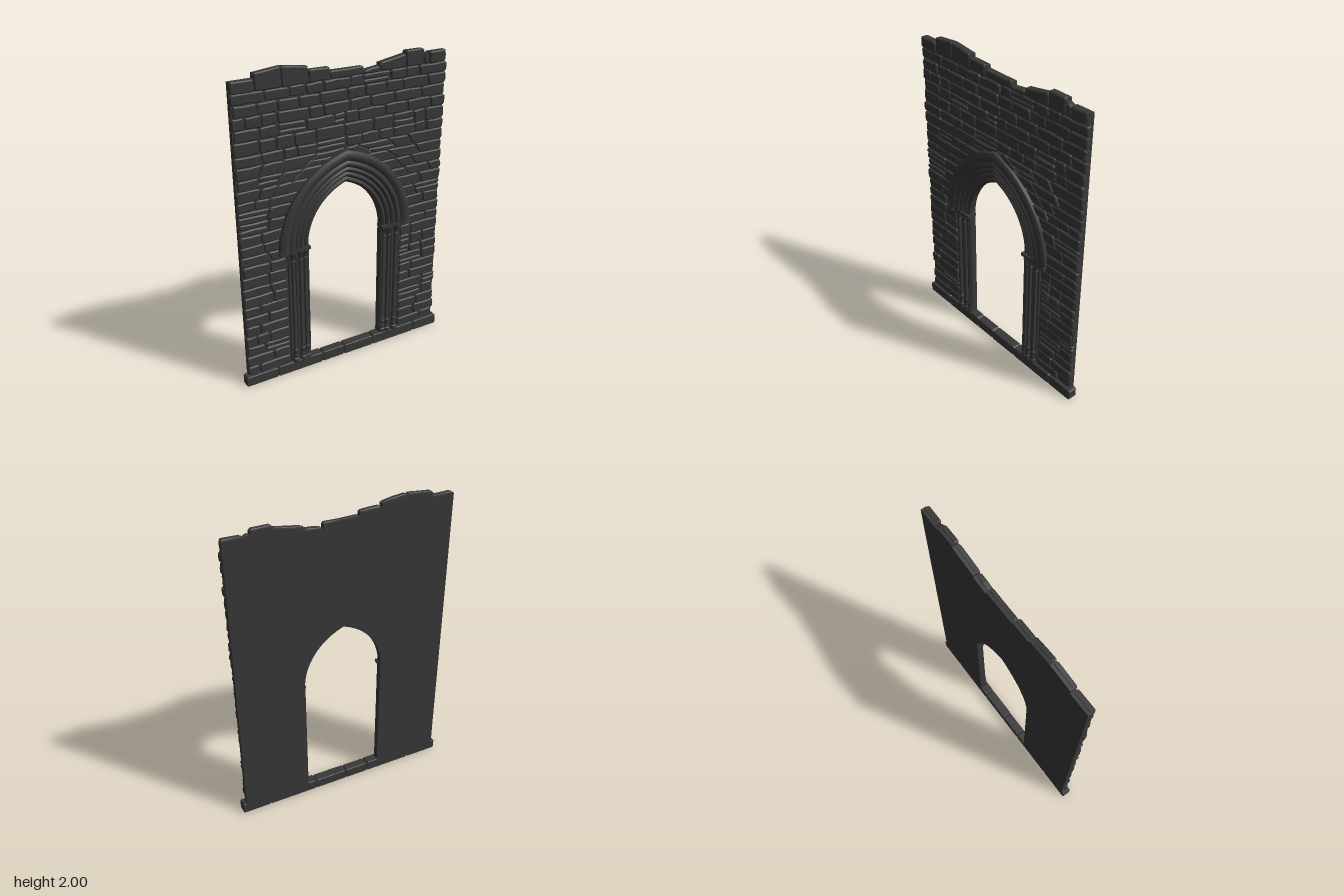
import * as THREE from 'three';
import { mergeGeometries, toCreasedNormals } from 'three/addons/utils/BufferGeometryUtils.js';

const SPRING = 0.88;   // height where the arch starts
const OFF = 0.125;     // arc centres lie this far across the middle
const BACK = -0.045;

// ragged top edge: x start, x end, height at each
const TOP = [
  [-0.7, -0.56, 1.955, 1.955], [-0.56, -0.4, 1.985, 2.0], [-0.4, -0.235, 2.0, 1.98],
  [-0.235, -0.1, 1.957, 1.955], [-0.1, 0.12, 1.933, 1.93], [0.12, 0.23, 1.905, 1.918],
  [0.23, 0.41, 1.935, 1.965], [0.41, 0.535, 1.982, 1.98], [0.535, 0.575, 1.96, 1.945],
  [0.575, 0.695, 1.955, 1.955],
];

let seed = 11;
const rnd = () => { seed = (seed * 16807) % 2147483647; return seed / 2147483647; };
const rand = (a, b) => a + (b - a) * rnd();

// half width of a pointed arch of radius r at height y
function archHalf(r, y) {
  return Math.max(0, Math.sqrt(Math.max(0, r * r - (y - SPRING) ** 2)) - OFF);
}

// bevelled stone from four corners: bottom left, bottom right, top right, top left
function stone(c, zBack, zFront, jitter, bevel = 0.006) {
  const pts = [];
  for (let i = 0; i < 4; i++) {
    const [p, q] = [c[i], c[(i + 1) % 4]];
    const len = Math.hypot(q[0] - p[0], q[1] - p[1]);
    const cut = Math.min(0.3, 0.009 / Math.max(len, 0.001));
    for (const t of [cut, 0.5, 1 - cut]) {
      pts.push(new THREE.Vector2(
        p[0] + (q[0] - p[0]) * t + rand(-jitter, jitter),
        p[1] + (q[1] - p[1]) * t + rand(-jitter, jitter)));
    }
  }
  const g = new THREE.ExtrudeGeometry(new THREE.Shape(pts), {
    depth: zFront - zBack - 2 * bevel, bevelSize: bevel, bevelThickness: bevel,
    bevelOffset: -bevel, bevelSegments: 1, steps: 1,
  });
  return g.translate(0, 0, zBack + bevel);
}

// one course of stones between two slanted ends
function course(out, y0, y1, l0, r0, l1, r1) {
  const width = (r0 - l0 + r1 - l1) / 2;
  if (width < 0.04) return;
  const cuts = [0];
  let t = 0;
  while (t < 1) {
    t += rand(0.075, 0.2) / width;
    if (1 - t < 0.07 / width) t = 1;
    cuts.push(t);
  }
  const gap = 0.0025;
  for (let i = 0; i + 1 < cuts.length; i++) {
    const at = (k, top) => (top ? l1 + (r1 - l1) * k : l0 + (r0 - l0) * k);
    const [a, b] = [cuts[i], cuts[i + 1]];
    const x = at((a + b) / 2, false);
    const rubble = y1 < 0.85 && x > 0.4 ? 0.35 : 0.06;
    const levels = rnd() < rubble ? [0, rand(0.4, 0.6), 1] : [0, 1];
    for (let k = 0; k + 1 < levels.length; k++) {
      const [u, v] = [levels[k], levels[k + 1]];
      const px = (s, h) => at(s, false) * (1 - h) + at(s, true) * h;
      const [ya, yb] = [y0 + (y1 - y0) * u + gap, y0 + (y1 - y0) * v - gap];
      out.push(stone([[px(a, u) + gap, ya], [px(b, u) - gap, ya],
        [px(b, v) - gap, yb], [px(a, v) + gap, yb]], -0.03, rand(-0.003, 0.006), 0.003));
    }
  }
}

// grooved archivolt swept around both arcs
function archGeometry() {
  const profile = [[0.392, BACK], [0.385, BACK], [0.385, -0.008]];
  const edges = [0.385, 0.418, 0.45, 0.482, 0.522, 0.583];
  for (let i = 0; i < 5; i++) {
    const base = -0.006 + i * 0.0065;
    for (let k = 0; k <= 6; k++) {
      profile.push([edges[i] + (edges[i + 1] - edges[i]) * k / 6,
        base + 0.013 * Math.sin(Math.PI * k / 6)]);
    }
  }
  profile.push([0.583, -0.02]);
  const N = 20, m = profile.length, pos = [], idx = [];
  for (let i = -N; i <= N; i++) {
    for (const [r, z] of profile) {
      const a = Math.acos(OFF / r) * (1 - Math.abs(i) / N);
      pos.push((r * Math.cos(a) - OFF) * (i < 0 ? 1 : -1), SPRING + r * Math.sin(a), z);
    }
  }
  for (let i = 0; i < 2 * N; i++) {
    for (let j = 0; j < m - 1; j++) {
      const a = i * m + j, c = a + m;
      idx.push(a, a + 1, c, a + 1, c + 1, c);
    }
  }
  const g = new THREE.BufferGeometry();
  g.setAttribute('position', new THREE.Float32BufferAttribute(pos, 3));
  g.setIndex(idx);
  return toCreasedNormals(g, 0.6);
}

export function createModel() {
  const model = new THREE.Group();
  model.name = 'ruinedArchWall';
  const darkStone = new THREE.MeshStandardMaterial({ color: 0x383838 });
  darkStone.name = 'darkStone';
  const add = (parent, name, geo, x = 0, y = 0, z = 0) => {
    const mesh = new THREE.Mesh(geo, darkStone);
    mesh.name = name;
    mesh.position.set(x, y, z);
    parent.add(mesh);
    return mesh;
  };

  // backing slab with the doorway notch
  const outline = [[-0.695, 0.03], [-0.265, 0.03]];
  for (let i = 0; i <= 40; i++) {
    const s = i < 20 ? -1 : 1;
    const a = Math.acos(OFF / 0.39) * (1 - Math.abs(i - 20) / 20);
    outline.push([s * (0.39 * Math.cos(a) - OFF), SPRING + 0.39 * Math.sin(a)]);
  }
  outline.push([0.265, 0.03], [0.695, 0.03]);
  for (const [x0, x1, y0, y1] of [...TOP].reverse()) outline.push([x1, y1 - 0.003], [x0 + 0.001, y0 - 0.003]);
  const slab = new THREE.Shape(outline.map(([x, y]) => new THREE.Vector2(x, y)));
  add(model, 'wallSlab', new THREE.ExtrudeGeometry(slab, { depth: 0.034, bevelEnabled: false }), 0, 0, BACK);

  // coursed stones
  const stones = [], rows = 26, low = 0.07, high = 1.885;
  let y0 = low;
  for (let i = 0; i < rows; i++) {
    const y1 = i === rows - 1 ? high : low + (high - low) * (i + 1) / rows + rand(-0.007, 0.007);
    const edge = (y) => (y < SPRING ? 0.405 : archHalf(0.565, y));
    const [e0, e1] = [edge(y0), edge(y1)];
    const [L, R] = [-0.7 + rand(-0.006, 0.006), 0.698 + rand(-0.006, 0.006)];
    if (e0 > 0) {
      course(stones, y0, y1, L, -e0, L, -e1);
      course(stones, y0, y1, e0, R, e1, R);
    } else course(stones, y0, y1, L, R, L, R);
    y0 = y1;
  }
  for (const [a, b, ya, yb] of TOP) {
    stones.push(stone([[a + 0.002, high + 0.002], [b - 0.002, high + 0.002],
      [b - 0.002, yb], [a + 0.002, ya]], -0.03, rand(-0.002, 0.005), 0.003));
  }
  add(model, 'wallStones', mergeGeometries(stones));

  // plinth blocks
  const joints = [-0.72, -0.5, -0.18, -0.02, 0.2, 0.53, 0.72];
  const plinth = [];
  for (let i = 0; i < 6; i++) {
    const [a, b, h] = [joints[i], joints[i + 1], rand(0.066, 0.073)];
    plinth.push(stone([[a, 0], [b, 0], [b, h], [a, h]], BACK, rand(0.014, 0.019), 0, 0.004));
  }
  add(model, 'plinth', mergeGeometries(plinth));

  add(model, 'archMoulding', archGeometry());

  // jamb shafts, bases and capitals on both sides
  const column = new THREE.LatheGeometry([
    [0.023, 0.065], [0.023, 0.095], [0.018, 0.1], [0.021, 0.112], [0.017, 0.122], [0.017, 0.15],
    [0.021, 0.158], [0.013, 0.17], [0.0125, 0.795], [0.017, 0.8], [0.017, 0.808],
    [0.013, 0.814], [0.016, 0.835], [0.024, 0.858], [0.024, 0.872],
  ].map(([r, y]) => new THREE.Vector2(r, y)), 14);
  const columnGeo = toCreasedNormals(column, 0.7);
  for (const s of [-1, 1]) {
    const jamb = new THREE.Group();
    jamb.name = s > 0 ? 'leftJamb' : 'rightJamb';
    model.add(jamb);
    add(jamb, 'jambBacking', new THREE.BoxGeometry(0.143, 0.82, 0.037), s * 0.3295, 0.47, -0.0255);
    [[0.283, -0.006], [0.318, -0.001], [0.37, 0.003]].forEach(([x, z]) => {
      add(jamb, 'column', columnGeo, s * x, 0, z);
      // curled capital leaf
      const leaf = add(jamb, 'capitalLeaf', new THREE.ConeGeometry(0.009, 0.032, 5), s * x, 0.852, z + 0.024);
      leaf.rotation.x = 1.0;
    });
    // slim rolls between the shafts
    for (const [x, r] of [[0.265, 0.007], [0.344, 0.009], [0.393, 0.008]]) {
      add(jamb, 'jambRoll', new THREE.CylinderGeometry(r, r, 0.8, 10), s * x, 0.47, -0.006);
    }
    add(jamb, 'abacus', new THREE.BoxGeometry(0.146, 0.018, 0.066), s * 0.328, 0.876, -0.011);
    add(jamb, 'hoodStop', new THREE.BoxGeometry(0.056, 0.016, 0.055), s * 0.432, 0.876, 0.0045);
  }
  return model;
}
